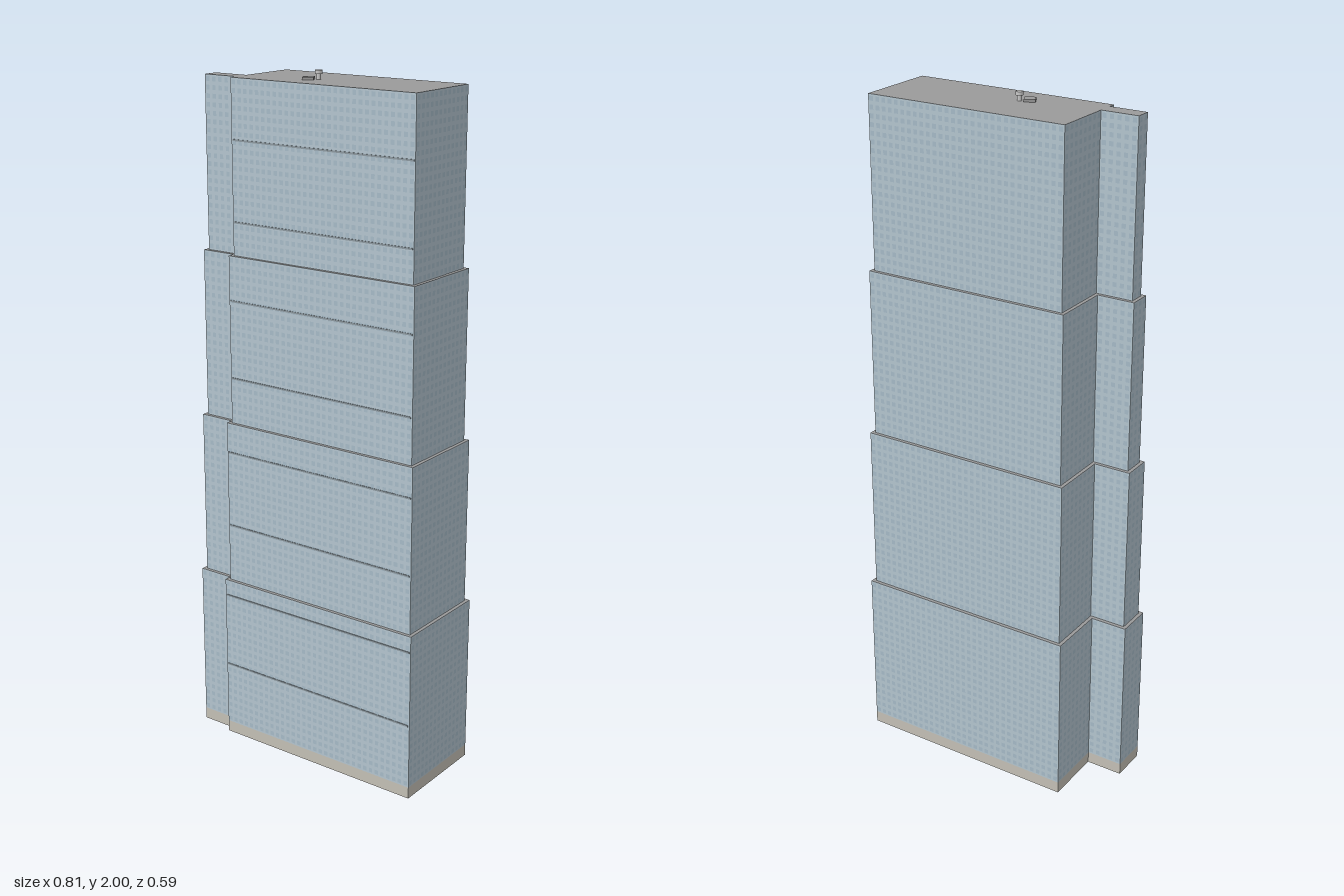
import * as THREE from 'three';
import { mergeGeometries } from 'three/addons/utils/BufferGeometryUtils.js';

const paint = (color) => new THREE.MeshStandardMaterial({ color });

// Tower footprint, drawn in as x and -z, pulled in on every side by d
function outline(d) {
  const left = -0.297 + d, right = 0.366 - d, front = -0.131 + d, back = 0.174 - d;
  const bayLeft = -0.406 + d, bayFront = -0.11 + d, bayBack = -0.002 - d;
  return [
    [left, front], [right, front], [right, back], [left, back],
    [left, bayBack], [bayLeft, bayBack], [bayLeft, bayFront], [left, bayFront],
  ].map(([x, y]) => new THREE.Vector2(x, y));
}

function prism(d, y0, y1) {
  const geo = new THREE.ExtrudeGeometry(new THREE.Shape(outline(d)), { depth: y1 - y0, bevelEnabled: false });
  return geo.rotateX(-Math.PI / 2).translate(0, y0, 0);
}

// Rows of panes laid along each wall of one tier
function windowGrid(d, y0, y1) {
  const panes = [], pts = outline(d), floor = 0.0225, bay = 0.02, lift = 0.0008;
  const floors = Math.floor((y1 - y0) / floor);
  pts.forEach((p, i) => {
    const q = pts[(i + 1) % pts.length];
    const run = q.clone().sub(p), length = run.length(), angle = run.angle();
    const count = Math.floor(length / bay);
    for (let c = 0; c < count; c++) {
      const at = p.clone().addScaledVector(run, (c + 0.5) / count);
      for (let f = 0; f < floors; f++) {
        panes.push(new THREE.PlaneGeometry(0.012, 0.013).rotateY(angle).translate(
          at.x + Math.sin(angle) * lift,
          y0 + (f + 0.5) * (y1 - y0) / floors,
          -at.y + Math.cos(angle) * lift));
      }
    }
  });
  return mergeGeometries(panes);
}

export function createModel() {
  const model = new THREE.Group();
  model.name = 'tower';
  const building = new THREE.Group();
  building.name = 'building';
  building.rotation.y = -0.505;
  model.add(building);

  const roof = paint(0x9a9a9a), wall = paint(0xb4c5cf), glass = paint(0xa6bac7);
  const stone = paint(0xc4c0b6), trim = paint(0x8c989f), grey = paint(0xcccccc);
  const add = (parent, name, geo, mat) => {
    const mesh = new THREE.Mesh(geo, mat);
    mesh.name = name;
    parent.add(mesh);
    return mesh;
  };

  // Stone plinth
  add(building, 'plinth', prism(0, 0, 0.035), [roof, stone]);

  // Four tiers, each stepped in from the one below
  const levels = [0.035, 0.506, 0.996, 1.486, 1.975];
  for (let i = 0; i < 4; i++) {
    const y0 = levels[i], y1 = levels[i + 1], inset = i * 0.0103;
    add(building, `tier${i + 1}`, prism(inset, y0, y1), [roof, wall]);
    add(building, `windows${i + 1}`, windowGrid(inset, y0, y1), glass);

    // Thin ledges across the long front wall
    for (const y of [0.23 + i * 0.45, 0.457 + i * 0.45]) {
      const width = 0.655 - 2 * inset;
      add(building, 'frontLedge', new THREE.BoxGeometry(width, 0.005, 0.004), trim)
        .position.set(0.0345, y, 0.131 - inset);
    }
  }

  // Rooftop pad and vent
  add(model, 'roofPad', new THREE.BoxGeometry(0.031, 0.007, 0.031), roof)
    .position.set(-0.065, 1.9785, -0.016);
  add(model, 'ventPipe', new THREE.CylinderGeometry(0.006, 0.006, 0.017, 12), grey)
    .position.set(-0.038, 1.983, -0.016);
  add(model, 'ventCap', new THREE.CylinderGeometry(0.01, 0.01, 0.01, 16), grey)
    .position.set(-0.038, 1.995, -0.016);

  return model;
}
